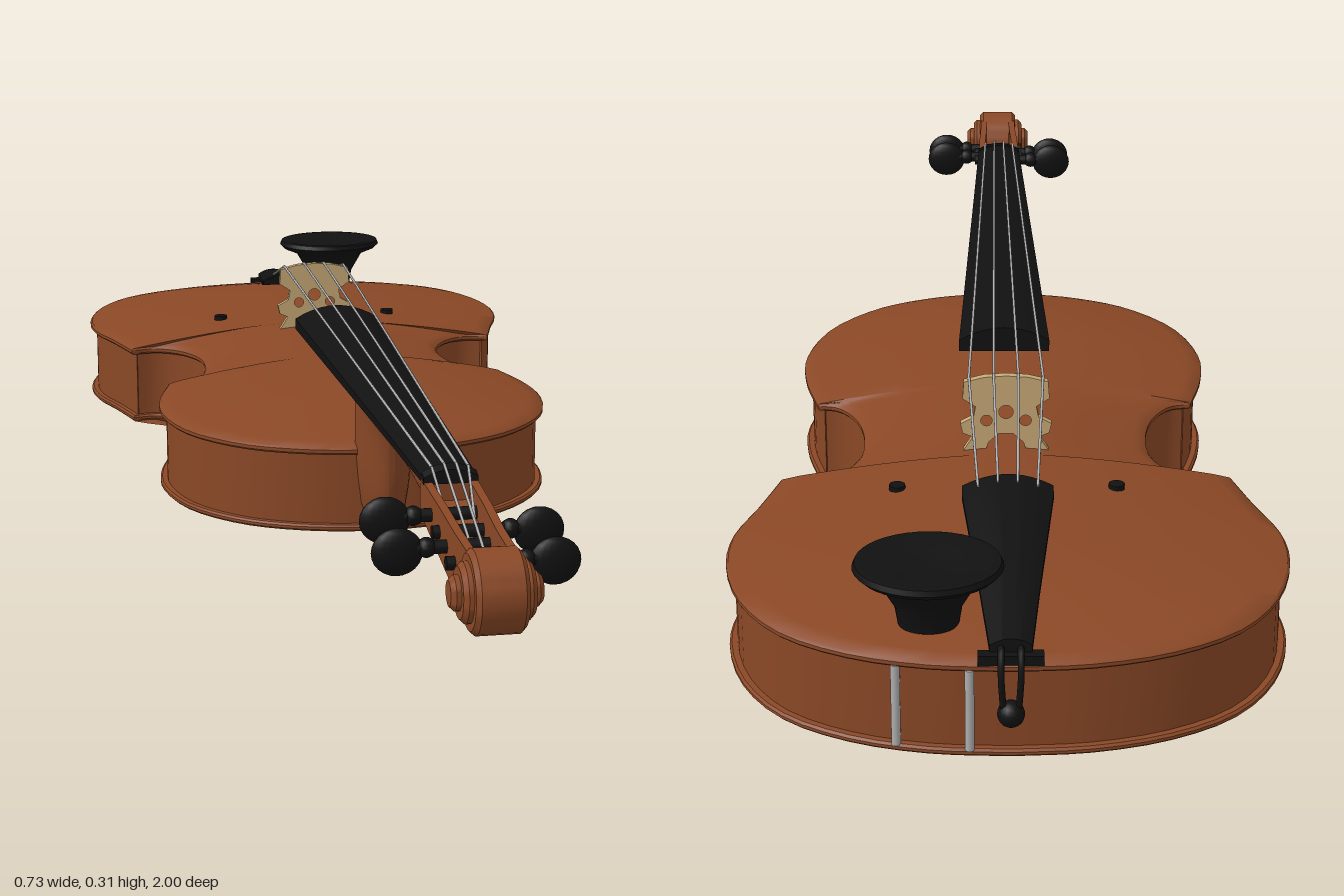
import * as THREE from 'three';
import { toCreasedNormals } from 'three/addons/utils/BufferGeometryUtils.js';

const V = (x, y, z) => new THREE.Vector3(x, y, z);

// Skins a list of closed rings; rings run counter-clockwise around the travel direction
function loft(rings, caps = true, crease = 0.6) {
  const n = rings[0].length, pos = [], idx = [];
  rings.forEach(r => r.forEach(p => pos.push(p.x, p.y, p.z)));
  for (let i = 0; i < rings.length - 1; i++) {
    for (let j = 0; j < n; j++) {
      const k = (j + 1) % n, a = i * n + j, b = i * n + k;
      idx.push(a, b, b + n, a, b + n, a + n);
    }
  }
  if (caps) {
    [0, rings.length - 1].forEach((r, end) => {
      const c = rings[r].reduce((s, p) => s.add(p), V(0, 0, 0)).divideScalar(n);
      const ci = pos.length / 3;
      pos.push(c.x, c.y, c.z);
      for (let j = 0; j < n; j++) {
        const a = r * n + j, b = r * n + (j + 1) % n;
        idx.push(ci, end ? a : b, end ? b : a);
      }
    });
  }
  const g = new THREE.BufferGeometry();
  g.setAttribute('position', new THREE.Float32BufferAttribute(pos, 3));
  g.setIndex(idx);
  return toCreasedNormals(g, crease);
}

// Body outline as [x, z]: upper bout, waist and lower bout, mirrored
function bodyOutline() {
  const arcs = [
    [[0, 0.22], [0.05, 0.217], [0.12, 0.2], [0.2, 0.157], [0.272, 0.07], [0.302, -0.04], [0.297, -0.13], [0.275, -0.218]],
    [[0.275, -0.218], [0.245, -0.226], [0.215, -0.27], [0.201, -0.34], [0.206, -0.4], [0.235, -0.453], [0.27, -0.474], [0.312, -0.468]],
    [[0.312, -0.468], [0.336, -0.55], [0.362, -0.63], [0.366, -0.71], [0.34, -0.81], [0.285, -0.89], [0.2, -0.943], [0.1, -0.971], [0, -0.978]],
  ];
  const half = [];
  arcs.forEach(a => {
    const pts = new THREE.CatmullRomCurve3(a.map(([x, z]) => V(x, 0, z))).getPoints(24);
    half.push(...pts.slice(0, -1));
  });
  const mirrored = half.slice(1).reverse().map(p => V(-p.x, 0, p.z));
  return [...half, V(0, 0, -0.978), ...mirrored];
}

function inset(outline, d) {
  const n = outline.length;
  return outline.map((p, i) => {
    const t = outline[(i + 1) % n].clone().sub(outline[(i + n - 1) % n]).normalize();
    return V(p.x + t.z * d, 0, p.z - t.x * d);
  });
}

const atY = (ring, y) => ring.map(p => V(p.x, y, p.z));

// Arched plate ring: s shrinks the outline towards the centre line
function archRing(outline, s, y, rise) {
  return outline.map(p => {
    const c = THREE.MathUtils.clamp(p.z, -0.72, -0.02);
    return V(p.x * s, y + rise * (1 - s ** 1.6), c + (p.z - c) * s);
  });
}

// Domed board running along z; stations are [z, halfWidth, bottom, edge, crown]
function board(stations) {
  return loft(stations.map(([z, w, b, e, c]) => {
    const ring = [V(-w, b, z), V(w, b, z)];
    for (let i = 0; i <= 12; i++) {
      const u = 1 - i / 6;
      ring.push(V(w * u, e + (c - e) * (1 - u * u), z));
    }
    return ring;
  }));
}

export function createModel() {
  const model = new THREE.Group();
  model.name = 'violin';
  const mat = (name, color) => new THREE.MeshStandardMaterial({ name, color });
  const wood = mat('varnishedWood', 0x8a4826);
  const ebony = mat('ebony', 0x111111);
  const maple = mat('paleMaple', 0xc8aa78);
  const steel = mat('steel', 0xb0b0b0);
  const add = (name, geometry, material, x = 0, y = 0, z = 0) => {
    const m = new THREE.Mesh(geometry, material);
    m.name = name;
    m.position.set(x, y, z);
    model.add(m);
    return m;
  };
  const rod = (name, a, b, r, material, sides = 6) => {
    const m = add(name, new THREE.CylinderGeometry(r, r, a.distanceTo(b), sides), material);
    m.position.copy(a).add(b).multiplyScalar(0.5);
    m.quaternion.setFromUnitVectors(V(0, 1, 0), b.clone().sub(a).normalize());
    return m;
  };

  // Sound box
  const outer = bodyOutline(), edge = inset(outer, 0.003), ribs = inset(outer, 0.011);
  const steps = [0, 0.1, 0.2, 0.32, 0.45, 0.58, 0.7, 0.82, 0.92];
  add('backPlate', loft([
    ...steps.map(s => archRing(outer, s, 0.038, -0.036)),
    atY(edge, 0.038), atY(outer, 0.041), atY(outer, 0.045), atY(edge, 0.048), atY(ribs, 0.048),
  ], false), wood);
  add('ribs', loft([atY(ribs, 0.046), atY(ribs, 0.157)], false), wood);
  add('topPlate', loft([
    atY(ribs, 0.156), atY(edge, 0.156), atY(outer, 0.159), atY(outer, 0.164), atY(edge, 0.167),
    ...steps.slice().reverse().map(s => archRing(outer, s, 0.167, 0.037)),
  ], false), wood);
  for (const s of [1, -1]) {
    add('soundHoleDot', new THREE.CylinderGeometry(0.011, 0.011, 0.009, 12), ebony, s * 0.148, 0.196, -0.555);
  }

  // Neck heel and neck, half-round sections
  const arc = f => Array.from({ length: 17 }, (_, i) => f(Math.PI * i / 16));
  add('neckHeel', loft([
    [0.042, 0.012, 0.025], [0.05, 0.022, 0.052], [0.08, 0.032, 0.084], [0.12, 0.037, 0.1],
    [0.16, 0.04, 0.107], [0.2, 0.04, 0.113], [0.22, 0.04, 0.126], [0.245, 0.04, 0.16],
  ].map(([y, w, d]) => arc(t => V(-w * Math.cos(t), y, 0.2 + d * Math.sin(t))))), wood);
  add('neck', loft([
    [0.2, 0.043, 0.035], [0.36, 0.041, 0.031], [0.56, 0.037, 0.028], [0.62, 0.037, 0.037], [0.69, 0.036, 0.05],
  ].map(([z, w, d]) => arc(t => V(-w * Math.cos(t), 0.252, z).add(V(0, -d * Math.sin(t), 0))))), wood);

  // Open pegbox with a U-shaped section
  add('pegbox', loft([
    [0.67, 0.036, 0.205, 0.253], [0.78, 0.034, 0.182, 0.246], [0.86, 0.032, 0.164, 0.238], [0.93, 0.031, 0.148, 0.235],
  ].map(([z, w, b, t]) => [
    [-w, b], [w, b], [w, t], [w - 0.011, t], [w - 0.011, b + 0.025],
    [0.011 - w, b + 0.025], [0.011 - w, t], [-w, t],
  ].map(([x, y]) => V(x, y, z))), false), wood);

  // Scroll: stepped volute on the cross axis
  for (const [r, w] of [[0.053, 0.033], [0.038, 0.045], [0.022, 0.057]]) {
    const b = 0.006;
    const profile = [[0, -w], [r - b, -w], [r, b - w], [r, w - b], [r - b, w], [0, w]];
    const g = new THREE.LatheGeometry(profile.map(p => new THREE.Vector2(...p)), 32);
    add('scroll', toCreasedNormals(g, 0.6), wood, 0, 0.19, 0.947).rotation.z = Math.PI / 2;
  }

  // Tuning pegs, alternating sides
  [[-1, 0.735, 0.222], [1, 0.78, 0.213], [-1, 0.82, 0.207], [1, 0.865, 0.2]].forEach(([s, z, y]) => {
    rod('pegShaft', V(-s * 0.043, y, z), V(s * 0.075, y, z), 0.009, ebony, 12);
    add('pegHead', new THREE.SphereGeometry(1, 20, 12), ebony, s * 0.095, y - 0.004, z).scale.set(0.033, 0.031, 0.013);
    add('pegCollar', new THREE.SphereGeometry(0.013, 12, 8), ebony, s * 0.058, y, z);
  });

  // Fingerboard, nut and tailpiece
  add('fingerboard', board([[-0.215, 0.066, 0.25, 0.267, 0.287], [0.68, 0.036, 0.249, 0.257, 0.268]]), ebony);
  add('nut', board([[0.678, 0.036, 0.249, 0.262, 0.273], [0.692, 0.036, 0.249, 0.258, 0.268]]), ebony);
  add('tailpiece', board([
    [-0.965, 0.026, 0.178, 0.187, 0.196], [-0.86, 0.037, 0.196, 0.204, 0.217],
    [-0.66, 0.06, 0.23, 0.238, 0.255], [-0.64, 0.06, 0.234, 0.24, 0.257],
  ]), ebony);
  add('saddle', new THREE.BoxGeometry(0.08, 0.02, 0.016), ebony, 0, 0.168, -0.968);

  // Tail loops and end button
  for (const s of [1, -1]) {
    const path = new THREE.CatmullRomCurve3([
      V(s * 0.012, 0.186, -0.95), V(s * 0.012, 0.18, -0.975), V(s * 0.012, 0.155, -0.988), V(s * 0.009, 0.105, -0.985),
    ]);
    add('tailLoop', new THREE.TubeGeometry(path, 16, 0.004, 8), ebony);
  }
  rod('buttonStem', V(0, 0.103, -0.95), V(0, 0.103, -0.985), 0.009, ebony, 12);
  add('endButton', new THREE.SphereGeometry(0.017, 16, 12), ebony, 0, 0.103, -0.983);

  // Bridge with feet, waist and cut-outs
  const right = [
    [0.058, 0.303], [0.06, 0.278], [0.042, 0.266], [0.045, 0.25], [0.063, 0.24], [0.06, 0.226],
    [0.046, 0.22], [0.062, 0.195], [0.03, 0.195], [0.024, 0.212], [0.01, 0.225],
  ];
  const bridgeShape = new THREE.Shape([
    [0, 0.312], [0.03, 0.31], ...right, ...right.slice().reverse().map(([x, y]) => [-x, y]), [-0.03, 0.31],
  ].map(p => new THREE.Vector2(...p)));
  bridgeShape.holes.push(new THREE.Path().absarc(0, 0.258, 0.01, 0, Math.PI * 2, true));
  for (const s of [1, -1]) {
    bridgeShape.holes.push(new THREE.Path().absarc(s * 0.027, 0.245, 0.008, 0, Math.PI * 2, true));
  }
  add('bridge', new THREE.ExtrudeGeometry(bridgeShape, { depth: 0.011, bevelEnabled: false }), maple, 0, 0, -0.447);

  // Strings from the pegbox over nut and bridge to the tailpiece
  [-1.5, -0.5, 0.5, 1.5].forEach((k, i) => {
    const crown = Math.abs(k) > 1 ? 0 : 1;
    const pts = [
      V(k * 0.009, 0.215, [0.735, 0.82, 0.865, 0.78][i]), V(k * 0.016, 0.27 + crown * 0.004, 0.685),
      V(k * 0.034, 0.308 + crown * 0.004, -0.441), V(k * 0.026, 0.249 + crown * 0.006, -0.66),
    ];
    for (let j = 0; j < 3; j++) rod('string', pts[j], pts[j + 1], 0.002, steel);
  });

  // Chin rest cup and clamp posts
  const cup = [[0.001, 0.18], [0.038, 0.18], [0.042, 0.205], [0.062, 0.24], [0.086, 0.25], [0.093, 0.257], [0.09, 0.264], [0.08, 0.265], [0.045, 0.257], [0, 0.254]];
  const cupGeometry = new THREE.LatheGeometry(cup.map(p => new THREE.Vector2(...p)), 40);
  add('chinRest', toCreasedNormals(cupGeometry, 0.7), ebony, 0.1, 0, -0.893).scale.z = 0.86;
  for (const [x, z] of [[0.05, -0.972], [0.14, -0.958]]) {
    rod('clampPost', V(x, 0.046, z), V(x, 0.158, z), 0.006, steel, 10);
  }
  return model;
}
